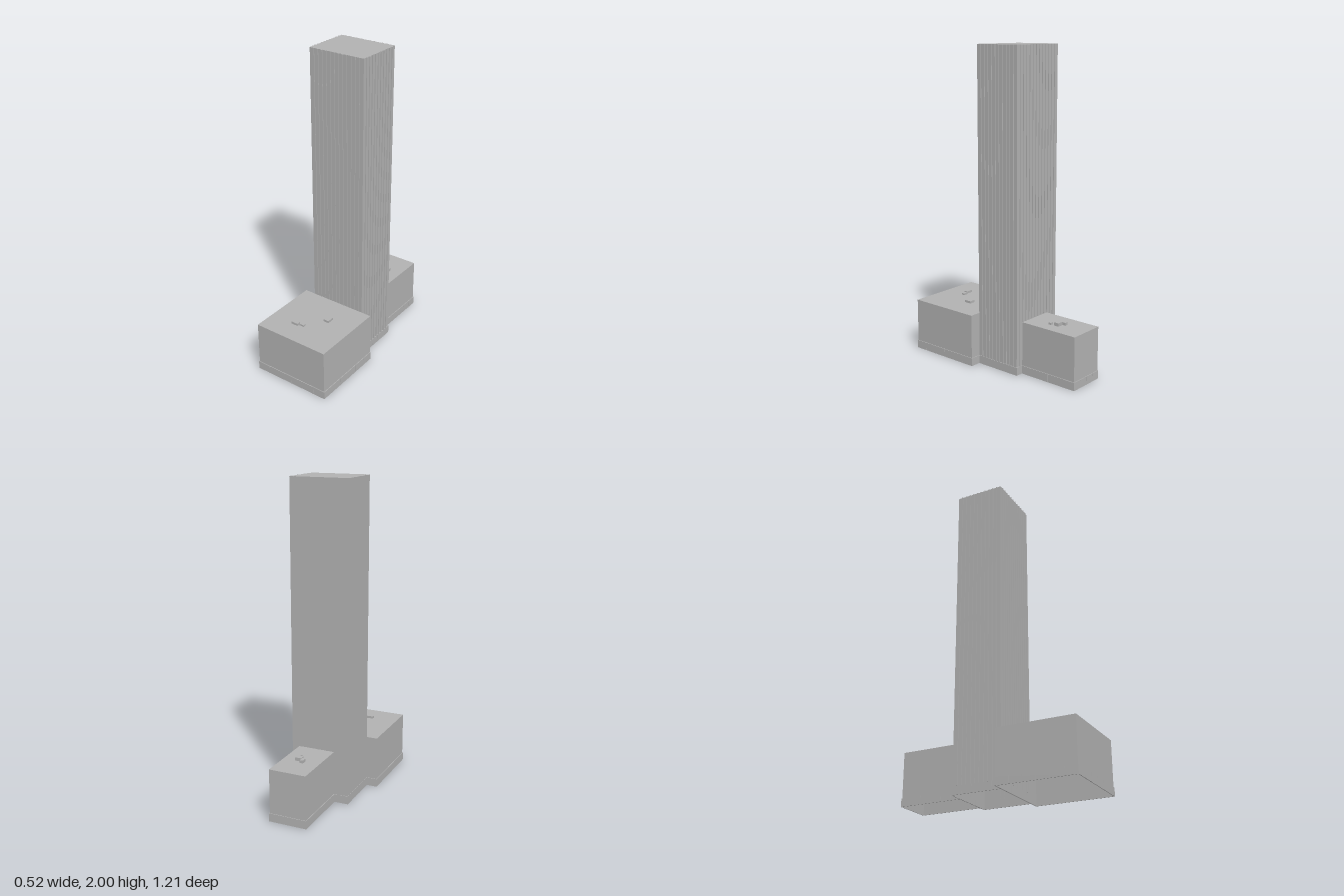
import * as THREE from 'three';

const concrete = new THREE.MeshStandardMaterial({ color: 0xb2b2b2, side: THREE.DoubleSide });
concrete.name = 'concrete grey';

const ROOF = 0.333, BASE = 0.052, LIP = 0.004;

function add(parent, name, geometry, x, y, z) {
  const mesh = new THREE.Mesh(geometry, concrete);
  mesh.name = name;
  mesh.position.set(x, y, z);
  parent.add(mesh);
  return mesh;
}

// Box given by its limits, standing on y0
function block(parent, name, x0, x1, z0, z1, y0, y1, open = false) {
  const g = new THREE.BoxGeometry(x1 - x0, y1 - y0, z1 - z0);
  if (open) {
    // drop the two triangles of the underside
    const index = Array.from(g.index.array);
    index.splice(18, 6);
    g.setIndex(index);
    g.clearGroups();
  }
  return add(parent, name, g, (x0 + x1) / 2, (y0 + y1) / 2, (z0 + z1) / 2);
}

// Row of evenly spaced ribs on all four walls
function ribs(parent, name, [x0, x1, z0, z1], nx, nz, width, depth, y0, y1) {
  const h = width / 2;
  for (let i = 1; i < nx; i++) {
    const x = x0 + (x1 - x0) * i / nx;
    block(parent, name, x - h, x + h, z1, z1 + depth, y0, y1);
    block(parent, name, x - h, x + h, z0 - depth, z0, y0, y1);
  }
  for (let i = 1; i < nz; i++) {
    const z = z0 + (z1 - z0) * i / nz;
    block(parent, name, x1, x1 + depth, z - h, z + h, y0, y1);
    block(parent, name, x0 - depth, x0, z - h, z + h, y0, y1);
  }
}

// Ground floor band: a thin rectangular ring round the walls
function baseBand(parent, [x0, x1, z0, z1], nx, nz) {
  const rect = (T, d) => new T([
    new THREE.Vector2(x0 - d, -z1 - d), new THREE.Vector2(x1 + d, -z1 - d),
    new THREE.Vector2(x1 + d, -z0 + d), new THREE.Vector2(x0 - d, -z0 + d),
  ]);
  const shape = rect(THREE.Shape, LIP);
  shape.holes.push(rect(THREE.Path, 0));
  const g = new THREE.ExtrudeGeometry(shape, { depth: BASE, bevelEnabled: false });
  g.rotateX(-Math.PI / 2);
  add(parent, 'baseBand', g, 0, 0, 0);
  const outer = [x0 - LIP, x1 + LIP, z0 - LIP, z1 + LIP];
  ribs(parent, 'baseMullion', outer, nx, nz, 0.004, 0.001, 0, BASE);
}

function wing(name, limits, nx, nz, units) {
  const group = new THREE.Group();
  group.name = name;
  block(group, name + 'Walls', ...limits, 0, ROOF, true);
  baseBand(group, limits, nx, nz);
  // rooftop plant boxes
  for (const [x0, x1, z0, z1, h] of units) {
    block(group, 'roofUnit', x0, x1, z0, z1, ROOF, ROOF + h);
  }
  return group;
}

export function createModel() {
  const model = new THREE.Group();
  model.name = 'towerBlock';

  // Tower with vertical fins on every side
  const tower = new THREE.Group();
  tower.name = 'tower';
  const limits = [-0.19, 0.187, -0.2, 0.11];
  block(tower, 'towerWalls', ...limits, 0, 2, true);
  ribs(tower, 'fin', limits, 13, 11, 0.007, 0.005, BASE, 2);
  baseBand(tower, limits, 6, 5);
  model.add(tower);

  // Low wings in front and behind
  model.add(wing('frontWing', [-0.258, 0.256, 0.113, 0.6], 6, 6, [
    [0.05, 0.088, 0.28, 0.33, 0.015],
    [-0.097, -0.05, 0.44, 0.466, 0.015],
    [-0.043, -0.013, 0.432, 0.452, 0.011],
  ]));
  model.add(wing('backWing', [-0.1, 0.138, -0.6, -0.203], 4, 6, [
    [-0.004, 0.017, -0.44, -0.405, 0.018],
    [0.018, 0.058, -0.419, -0.385, 0.021],
    [0.045, 0.063, -0.366, -0.347, 0.013],
  ]));
  return model;
}
